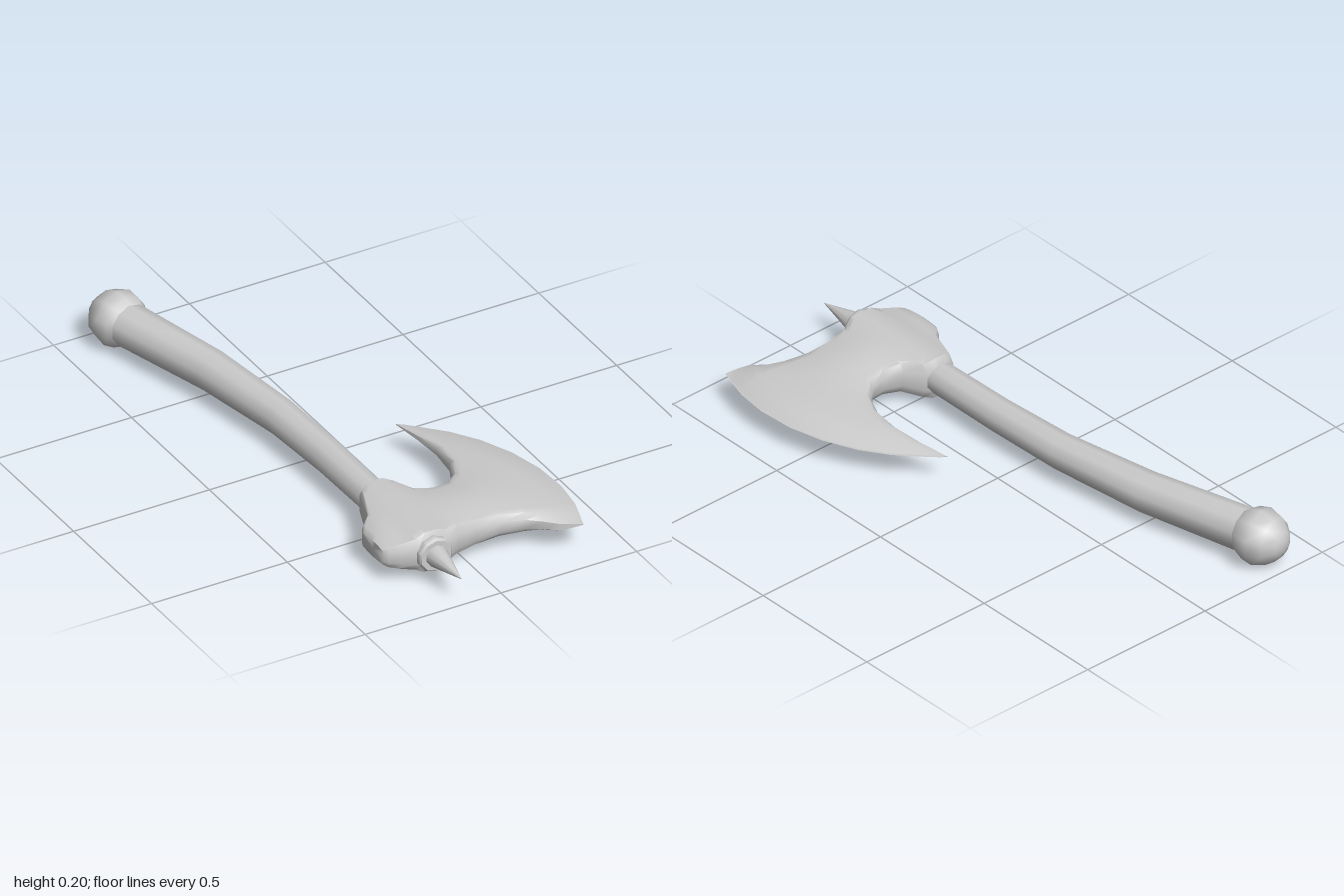
import * as THREE from 'three';
import { toCreasedNormals } from 'three/addons/utils/BufferGeometryUtils.js';

const CY = 0.098; // height of the axe's middle plane

// Skin a list of closed rings (counter-clockwise about the direction of travel) and cap both ends
function loft(rings, crease) {
  const n = rings[0].length, pos = [], idx = [];
  rings.forEach(r => r.forEach(p => pos.push(p.x, p.y, p.z)));
  for (let i = 0; i < rings.length - 1; i++) {
    for (let j = 0; j < n; j++) {
      const a = i * n + j, b = i * n + (j + 1) % n;
      idx.push(a, b, a + n, b, b + n, a + n);
    }
  }
  [0, rings.length - 1].forEach((i, end) => {
    const c = new THREE.Vector3();
    rings[i].forEach(p => c.addScaledVector(p, 1 / n));
    const k = pos.length / 3;
    pos.push(c.x, c.y, c.z);
    for (let j = 0; j < n; j++) {
      const a = i * n + j, b = i * n + (j + 1) % n;
      if (end) idx.push(k, a, b); else idx.push(k, b, a);
    }
  });
  const g = new THREE.BufferGeometry();
  g.setAttribute('position', new THREE.Float32BufferAttribute(pos, 3));
  g.setIndex(idx);
  return toCreasedNormals(g, crease);
}

// Ten-sided ring centred on (x, z), square to the heading (dx, dz)
function decagon(x, z, r, dx, dz) {
  const l = Math.hypot(dx, dz);
  return Array.from({ length: 10 }, (_, k) => {
    const a = Math.PI / 2 + k * Math.PI / 5, c = r * Math.cos(a);
    return new THREE.Vector3(x + c * dz / l, CY + r * Math.sin(a), z - c * dx / l);
  });
}

export function createModel() {
  const group = new THREE.Group();
  const material = new THREE.MeshStandardMaterial({ color: 0xcccccc });
  const add = (name, geometry) => {
    const mesh = new THREE.Mesh(geometry, material);
    mesh.name = name;
    group.add(mesh);
  };

  // Bent handle: x, z, radius
  const path = [
    [-0.315, -0.88, 0.075], [-0.213, -0.48, 0.069], [-0.16, -0.13, 0.061],
    [-0.147, 0.15, 0.057], [-0.145, 0.43, 0.055], [-0.145, 0.82, 0.055],
  ];
  add('handle', loft(path.map(([x, z, r], i) => {
    const a = path[Math.max(i - 1, 0)], b = path[Math.min(i + 1, path.length - 1)];
    return decagon(x, z, r, b[0] - a[0], b[1] - a[1]);
  }), 0.9));

  // Pommel knob: distance along the handle's axis, radius
  const knob = [[-0.098, 0.02], [-0.088, 0.045], [-0.055, 0.08], [-0.005, 0.098], [0.035, 0.09], [0.062, 0.072]];
  add('pommel', loft(knob.map(([s, r]) =>
    decagon(-0.318 + s * 0.25, -0.905 + s * 0.968, r, 0.25, 0.968)), 0.9));

  // Collar and spike on the front end: z, radius
  const straight = rows => loft(rows.map(([z, r]) => decagon(-0.145, z, r, 0, 1)), 0.7);
  add('collar', straight([[0.8, 0.056], [0.815, 0.062], [0.832, 0.062], [0.84, 0.056]]));
  add('spike', straight([[0.83, 0.039], [0.845, 0.038], [1, 0.001]]));

  // Curved cutting edge from the long horn to the short one
  const edge = new THREE.CatmullRomCurve3([
    [0.135, 0.09], [0.19, 0.145], [0.26, 0.22], [0.32, 0.31], [0.37, 0.425],
    [0.4, 0.55], [0.407, 0.68], [0.393, 0.79], [0.355, 0.91],
  ].map(([x, z]) => new THREE.Vector3(x, 0, z)));
  const edgeA = edge.getPoint(0), edgeB = edge.getPoint(1);

  // Head sections from the back lug to the edge:
  // upper border x, z, lower border x, z, half thickness, border thickness ratio, bow
  const sections = [
    [-0.3, 0.63, -0.3, 0.77, 0.03, 0.8, 0],
    [-0.285, 0.605, -0.285, 0.782, 0.042, 0.8, 0],
    [-0.25, 0.57, -0.25, 0.797, 0.052, 0.85, 0],
    [-0.2, 0.44, -0.2, 0.818, 0.06, 0.95, 0],
    [-0.168, 0.43, -0.168, 0.822, 0.076, 0.97, 0],
    [-0.122, 0.43, -0.122, 0.822, 0.076, 0.97, 0],
    [-0.09, 0.445, -0.09, 0.82, 0.068, 0.9, 0],
    [-0.05, 0.51, -0.04, 0.8, 0.064, 0.8, 0],
    [0.01, 0.53, 0.03, 0.79, 0.059, 0.75, 0],
    [0.07, 0.52, 0.12, 0.795, 0.053, 0.7, 0.05],
    [0.12, 0.475, 0.2, 0.82, 0.047, 0.7, 0.15],
    [0.155, 0.4, 0.24, 0.85, 0.041, 0.7, 0.33],
    [0.165, 0.3, 0.28, 0.885, 0.035, 0.7, 0.56],
    [0.155, 0.2, 0.315, 0.898, 0.026, 0.65, 0.8],
    [0.135, 0.09, 0.355, 0.91, 0.003, 1, 1],
  ];
  const steps = [0, 0.05, 0.125, 0.25, 0.375, 0.5, 0.625, 0.75, 0.875, 0.95, 1];
  const rings = sections.map(([ax, az, bx, bz, h, ratio, bow]) => {
    const side = sign => steps.map(t => {
      const d = edge.getPoint(t).sub(edgeA.clone().lerp(edgeB, t)).multiplyScalar(bow);
      const border = t === 0 || t === 1 ? 0.5 : 1; // rounds off the outer borders
      const y = h * border * (ratio + (1 - ratio) * Math.sin(Math.PI * t));
      return new THREE.Vector3(ax + (bx - ax) * t + d.x, CY + sign * y, az + (bz - az) * t + d.z);
    });
    return [...side(1), ...side(-1).reverse()];
  });
  add('axeHead', loft(rings, 0.9));

  return group;
}
